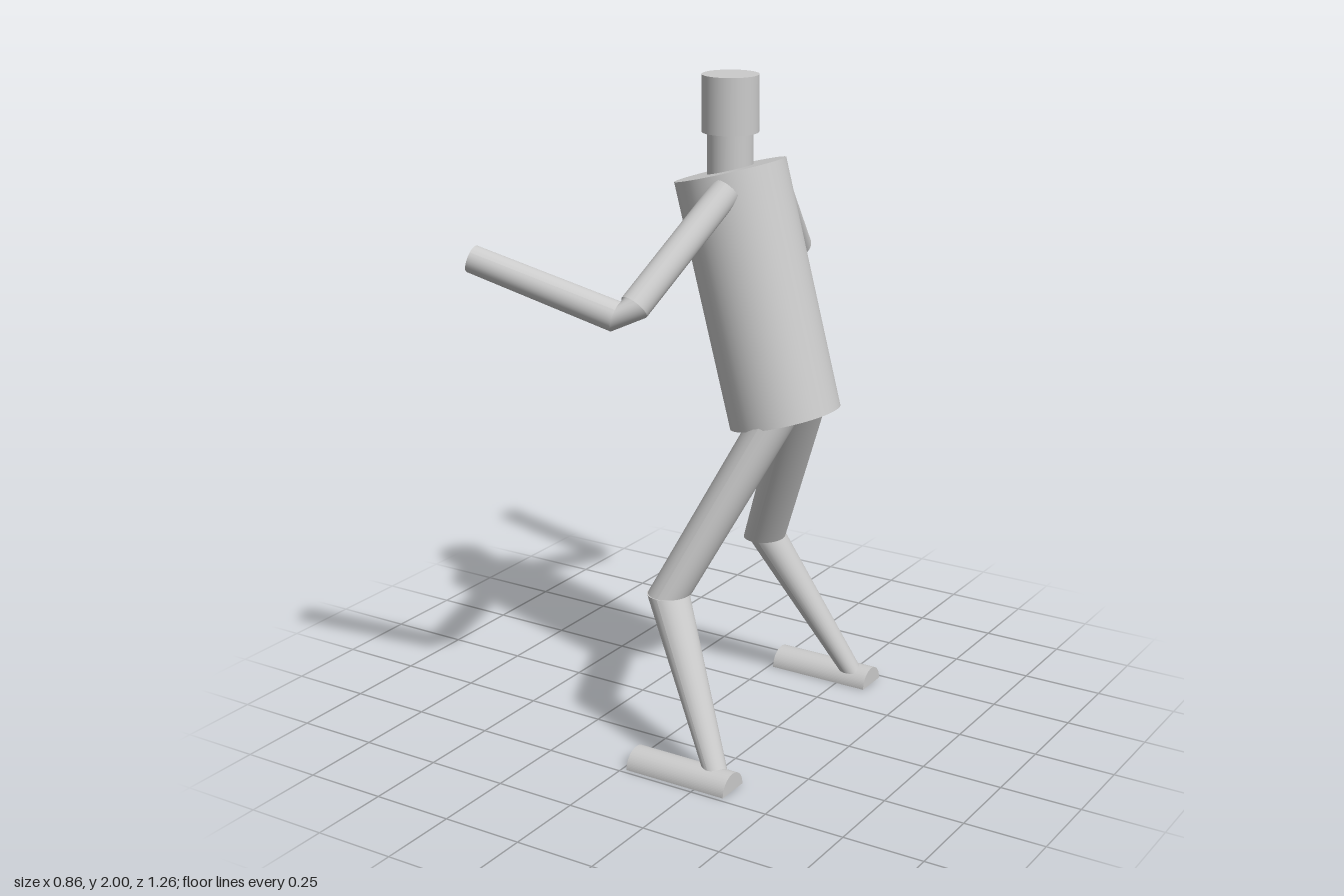
import * as THREE from 'three';

const material = new THREE.MeshStandardMaterial({ color: 0xcccccc });
const SIDES = 32;
const UP = new THREE.Vector3(0, 1, 0);
const SIDEWAYS = new THREE.Vector3(0, 0, 1);

function addMesh(parent, name, geometry) {
  const mesh = new THREE.Mesh(geometry, material);
  mesh.name = name;
  parent.add(mesh);
  return mesh;
}

// An elliptical end section: centre, facing direction, hinge axis and two radii.
function ring(center, dir, hinge, ru, rn = ru) {
  const u = new THREE.Vector3().crossVectors(dir, hinge).normalize();
  return (x, z) => center.clone().addScaledVector(u, x * ru).addScaledVector(hinge, z * rn);
}

// A cylinder whose two ends are moved onto the given sections.
function segment(parent, name, start, end) {
  const geometry = new THREE.CylinderGeometry(1, 1, 1, SIDES);
  const pos = geometry.attributes.position;
  for (let i = 0; i < pos.count; i++) {
    const place = pos.getY(i) < 0 ? start : end;
    const p = place(pos.getX(i), pos.getZ(i));
    pos.setXYZ(i, p.x, p.y, p.z);
  }
  geometry.computeVertexNormals();
  return addMesh(parent, name, geometry);
}

// Arm: straight forearm and upper arm joined by a wedge-shaped elbow.
function makeArm(s) {
  const arm = new THREE.Group();
  const hand = new THREE.Vector3(-0.416, 1.518, 0.59 * s);
  const elbowA = new THREE.Vector3(0, 1.385, 0.485 * s);
  const elbowB = new THREE.Vector3(0.04, 1.41, 0.455 * s);
  const shoulder = new THREE.Vector3(0.138, 1.692, 0.13 * s);
  const foreDir = elbowA.clone().sub(hand).normalize();
  const upperDir = shoulder.clone().sub(elbowB).normalize();
  const hinge = new THREE.Vector3().crossVectors(foreDir, upperDir).normalize();
  const foreEnd = ring(elbowA, foreDir, hinge, 0.044);
  const upperStart = ring(elbowB, upperDir, hinge, 0.044);
  segment(arm, 'forearm', ring(hand, foreDir, hinge, 0.04), foreEnd);
  segment(arm, 'elbow', foreEnd, upperStart);
  segment(arm, 'upperArm', upperStart, ring(shoulder, upperDir, hinge, 0.044));
  return arm;
}

// Leg: slanted thigh and tapered shin cut level at the knee, on a domed foot.
function makeLeg(s) {
  const leg = new THREE.Group();
  const level = (x, y, z, rx, rz) =>
    ring(new THREE.Vector3(x, y, z * s), UP, SIDEWAYS, rx, rz);
  segment(leg, 'thigh', level(0.037, 0.5, 0.275, 0.064, 0.072), level(0.276, 1.03, 0.081, 0.069, 0.08));
  segment(leg, 'shin', level(0.28, 0.04, 0.415, 0.036, 0.036), level(0.037, 0.5, 0.287, 0.063, 0.063));

  const section = new THREE.Shape();
  section.absarc(0, 0, 0.055, 0, Math.PI, false);
  section.closePath();
  const foot = new THREE.ExtrudeGeometry(section, { depth: 0.334, bevelEnabled: false, curveSegments: 20 });
  foot.rotateY(Math.PI / 2);
  foot.translate(0.015, 0, 0.43 * s);
  addMesh(leg, 'foot', foot);
  return leg;
}

export function createModel() {
  const model = new THREE.Group();
  model.name = 'figure';

  // Leaning torso
  const torso = addMesh(model, 'torso', new THREE.CylinderGeometry(0.166, 0.166, 0.743, 48));
  torso.position.set(0.168, 1.366, 0);
  torso.rotation.z = Math.PI / 12;

  // Upright neck and head
  const neck = addMesh(model, 'neck', new THREE.CylinderGeometry(0.067, 0.067, 0.2, SIDES));
  neck.position.set(0.0725, 1.75, 0);
  const head = addMesh(model, 'head', new THREE.CylinderGeometry(0.083, 0.083, 0.165, SIDES));
  head.position.set(0.0725, 1.9175, 0);

  // Mirrored limbs
  for (const s of [1, -1]) {
    const side = s > 0 ? 'front' : 'back';
    const arm = makeArm(s);
    arm.name = side + 'Arm';
    const leg = makeLeg(s);
    leg.name = side + 'Leg';
    model.add(arm, leg);
  }
  return model;
}
